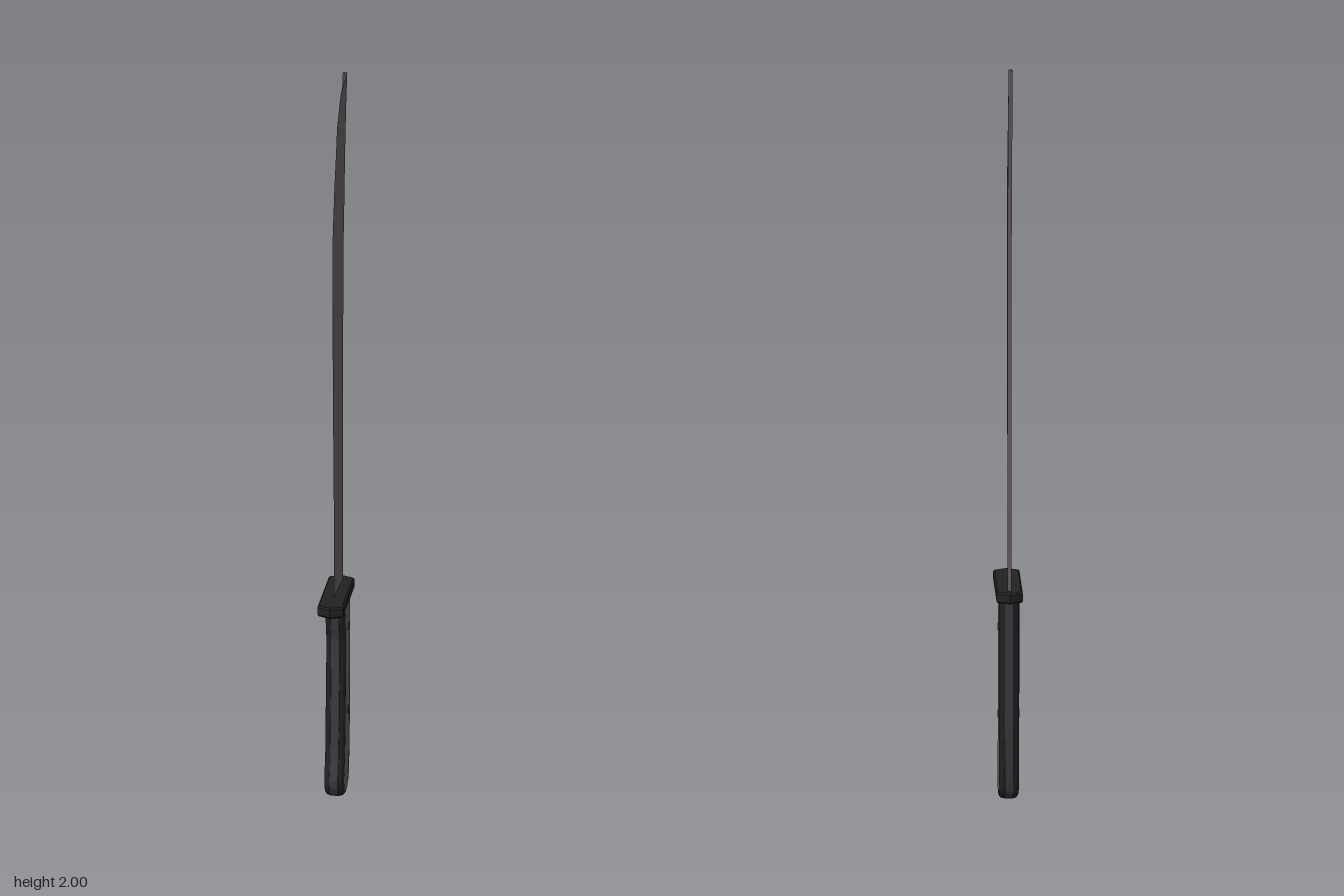
import * as THREE from 'three';
import { toCreasedNormals } from 'three/addons/utils/BufferGeometryUtils.js';

const steel = new THREE.MeshStandardMaterial({ color: 0x665d60 });
steel.name = 'warm steel';
const black = new THREE.MeshStandardMaterial({ color: 0x222222 });
black.name = 'black';
const tangGrey = new THREE.MeshStandardMaterial({ color: 0x3a3b3f });
tangGrey.name = 'dark grey';

// Blade sections: height, spine z, cutting edge z
const BLADE = [
  [0.56, -0.068, 0.053], [0.706, -0.067, 0.049], [1.13, -0.066, 0.069], [1.527, -0.074, 0.082],
  [1.627, -0.086, 0.074], [1.74, -0.097, 0.048], [1.83, -0.107, 0.02], [1.902, -0.118, 0],
  [1.966, -0.131, -0.058], [2.0, -0.134, -0.129],
];

// Grip outline (z, y), from the front top, round the pommel, to the back top
const GRIP = [
  [0.05, 0.56], [0.037, 0.49], [0.027, 0.425], [0.037, 0.257], [0.046, 0.13], [0.062, 0.06],
  [0.048, 0.016], [0.012, 0.002], [-0.025, 0.014], [-0.047, 0.05], [-0.063, 0.2], [-0.066, 0.38], [-0.067, 0.56],
];

function mesh(name, geometry, material) {
  const m = new THREE.Mesh(geometry, material);
  m.name = name;
  return m;
}

function gripShape() {
  const pts = GRIP.map(([z, y]) => new THREE.Vector2(z, y));
  const shape = new THREE.Shape();
  shape.moveTo(pts[0].x, pts[0].y);
  shape.splineThru(pts.slice(1));
  shape.closePath();
  return shape;
}

// Extrude a (z, y) outline sideways, centred on x = 0
function sideExtrude(shape, depth, options) {
  const g = new THREE.ExtrudeGeometry(shape, { depth, curveSegments: 36, ...options });
  g.translate(0, 0, -depth / 2);
  g.rotateY(-Math.PI / 2);
  return toCreasedNormals(g, 0.6);
}

// Wedge section: flat spine tapering to a sharp edge
function bladeGeometry() {
  const pos = [], index = [], half = 0.0055;
  for (const [y, back, edge] of BLADE) pos.push(half, y, back, -half, y, back, 0, y, edge);
  for (let i = 0; i < BLADE.length - 1; i++) {
    for (let j = 0; j < 3; j++) {
      const a = i * 3 + j, b = i * 3 + (j + 1) % 3;
      index.push(a, b, b + 3, a, b + 3, a + 3);
    }
  }
  const t = (BLADE.length - 1) * 3;
  index.push(0, 2, 1, t, t + 1, t + 2);
  const g = new THREE.BufferGeometry();
  g.setAttribute('position', new THREE.Float32BufferAttribute(pos, 3));
  g.setIndex(index);
  return toCreasedNormals(g, 0.3);
}

// Long six-sided plate with chamfered rims
function guardGeometry() {
  const outline = [[0, -0.131], [0.034, -0.116], [0.034, 0.08], [0, 0.094], [-0.034, 0.08], [-0.034, -0.116]];
  const shape = new THREE.Shape(outline.map(([x, y]) => new THREE.Vector2(x, y)));
  const g = new THREE.ExtrudeGeometry(shape, {
    depth: 0.02, bevelThickness: 0.005, bevelSize: 0.004, bevelOffset: -0.004, bevelSegments: 1,
  });
  g.translate(0, 0, -0.01);
  g.rotateX(-Math.PI / 2);
  return toCreasedNormals(g, 0.3);
}

export function createModel() {
  const group = new THREE.Group();
  group.name = 'machete';
  group.add(mesh('blade', bladeGeometry(), steel));

  const guard = mesh('guard', guardGeometry(), black);
  guard.position.y = 0.567;
  guard.rotation.x = -0.03;
  group.add(guard);

  // Grip: flat side panels with rounded black rims
  const grip = sideExtrude(gripShape(), 0.026, {
    bevelThickness: 0.013, bevelSize: 0.014, bevelOffset: -0.014, bevelSegments: 4,
  });
  group.add(mesh('grip', grip, [steel, black]));

  // Tang showing as a narrow strip around the grip
  const tang = sideExtrude(gripShape(), 0.022, {
    bevelThickness: 0.001, bevelSize: 0.001, bevelSegments: 1,
  });
  group.add(mesh('tang', tang, tangGrey));

  // Low rivets on both sides
  for (const [y, z] of [[0.47, -0.018], [0.235, -0.012]]) {
    const rivet = mesh('rivet', new THREE.CylinderGeometry(0.011, 0.011, 0.056, 16), steel);
    rivet.rotation.z = Math.PI / 2;
    rivet.position.set(0, y, z);
    group.add(rivet);
  }
  return group;
}
